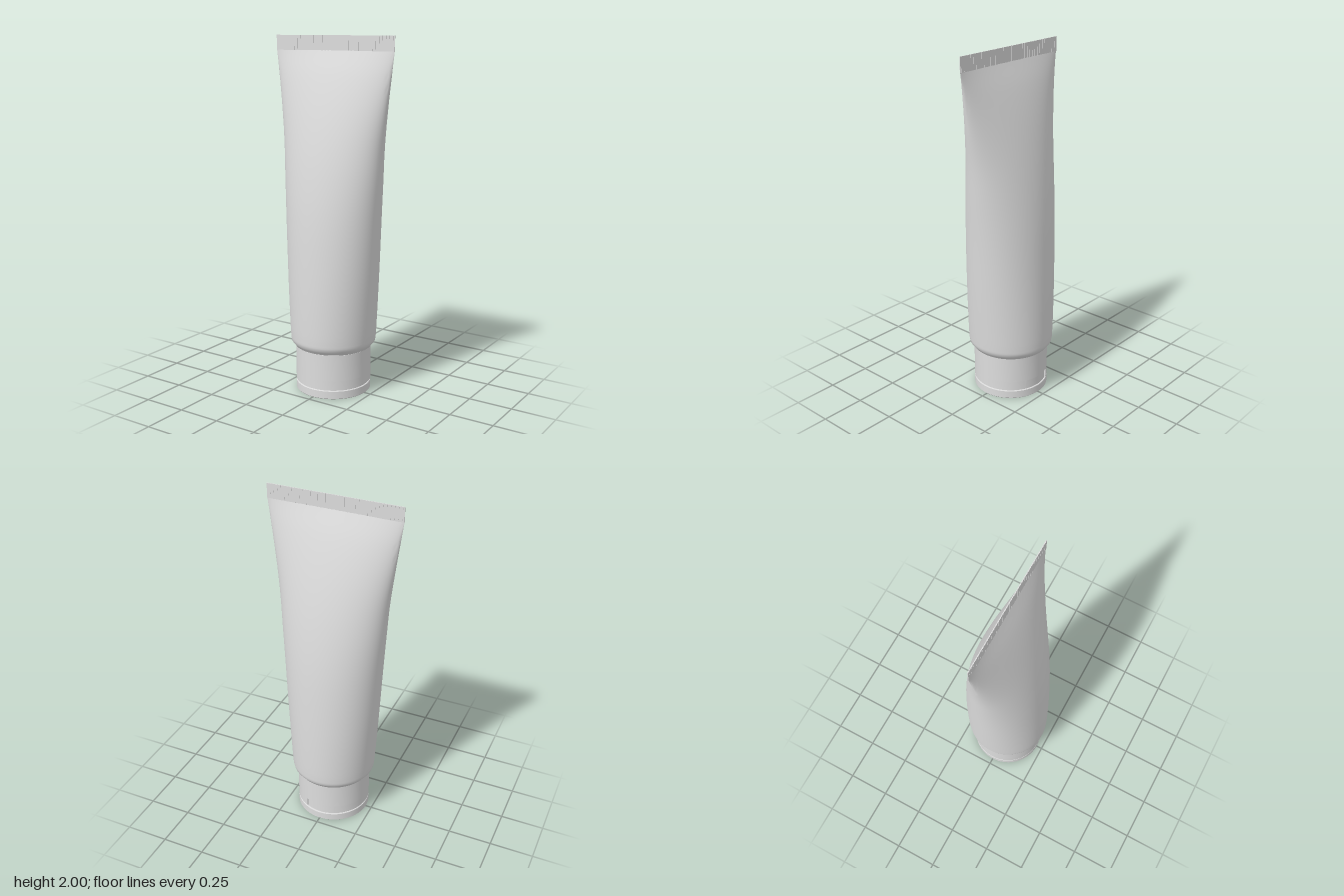
import * as THREE from 'three';
import { mergeVertices, toCreasedNormals } from 'three/addons/utils/BufferGeometryUtils.js';

const SEGMENTS = 72;
const CAP_R = 0.214, RECESS_R = 0.206, NOTCH = 0.42; // notch half angle

export function createModel() {
  const group = new THREE.Group();
  const plastic = new THREE.MeshStandardMaterial({ color: 0xdddddd });
  plastic.name = 'light grey plastic';

  const add = (name, geometry, parent = group) => {
    const mesh = new THREE.Mesh(geometry, plastic);
    mesh.name = name;
    parent.add(mesh);
    return mesh;
  };
  const lathe = (points, start = 0, length = Math.PI * 2) => toCreasedNormals(
    new THREE.LatheGeometry(points.map(p => new THREE.Vector2(...p)), SEGMENTS, start, length), 0.5);

  // Tube body: round at the shoulder, flattening into a wide seam.
  // Each ring is [half width, height, half depth].
  const shoulder = [[0.2, 0.262, 0.2], [0.219, 0.262, 0.219], [0.228, 0.275, 0.228], [0.239, 0.288, 0.239]];
  const sides = new THREE.CatmullRomCurve3([
    [0.243, 0.305, 0.242], [0.247, 0.36, 0.243], [0.265, 0.65, 0.237], [0.285, 1.0, 0.217],
    [0.3, 1.22, 0.191], [0.315, 1.42, 0.155], [0.339, 1.62, 0.106], [0.362, 1.79, 0.053],
    [0.379, 1.92, 0.002],
  ].map(p => new THREE.Vector3(...p)));
  const rings = [...shoulder.map(p => new THREE.Vector3(...p)), ...sides.getPoints(40)];
  const last = rings.length - 1;
  let body = new THREE.CylinderGeometry(1, 1, 1, SEGMENTS, last, true);
  const pos = body.attributes.position;
  for (let i = 0; i < pos.count; i++) {
    const ring = rings[Math.round((pos.getY(i) + 0.5) * last)];
    pos.setXYZ(i, pos.getX(i) * ring.x, ring.y, pos.getZ(i) * ring.z);
  }
  body.deleteAttribute('normal');
  body.deleteAttribute('uv');
  body = mergeVertices(body, 1e-5);
  add('tubeBody', toCreasedNormals(body, 0.6));

  // Crimped seam: thin plate with fine upright ribs on both faces
  const seam = new THREE.Group();
  seam.name = 'crimpedSeam';
  group.add(seam);
  add('seamPlate', new THREE.BoxGeometry(0.758, 0.082, 0.004).translate(0, 1.959, 0), seam);
  const ribs = 36;
  for (let i = 0; i < ribs; i++) {
    const x = ((i + 0.5) / ribs - 0.5) * 0.75;
    add('seamRib', new THREE.BoxGeometry(0.01, 0.08, 0.0056).translate(x, 1.959, 0), seam);
  }

  // Cap: lid disc, recessed core, and upper collar
  const cap = new THREE.Group();
  cap.name = 'cap';
  group.add(cap);
  add('lid', lathe([[0, 0], [0.21, 0], [CAP_R, 0.004], [CAP_R, 0.046], [0.212, 0.049], [0, 0.049]]), cap);
  add('capCore', lathe([[RECESS_R, 0.045], [RECESS_R, 0.115]]), cap);
  add('capCollar', lathe([[RECESS_R - 0.01, 0.108], [CAP_R, 0.108], [CAP_R, 0.259], [0.211, 0.262], [0, 0.262]]), cap);

  // Band around the core, open at the back to form the thumb notch
  add('capBand', lathe([[RECESS_R - 0.01, 0.057], [CAP_R, 0.057], [CAP_R, 0.108]],
    Math.PI + NOTCH, Math.PI * 2 - NOTCH * 2), cap);
  for (const side of [-1, 1]) {
    const end = add('notchEnd', new THREE.PlaneGeometry(0.01, 0.051), cap);
    const angle = Math.PI + side * NOTCH;
    const r = CAP_R - 0.005;
    end.position.set(Math.sin(angle) * r, 0.0825, Math.cos(angle) * r);
    end.rotation.y = angle - side * Math.PI / 2;
  }
  return group;
}
